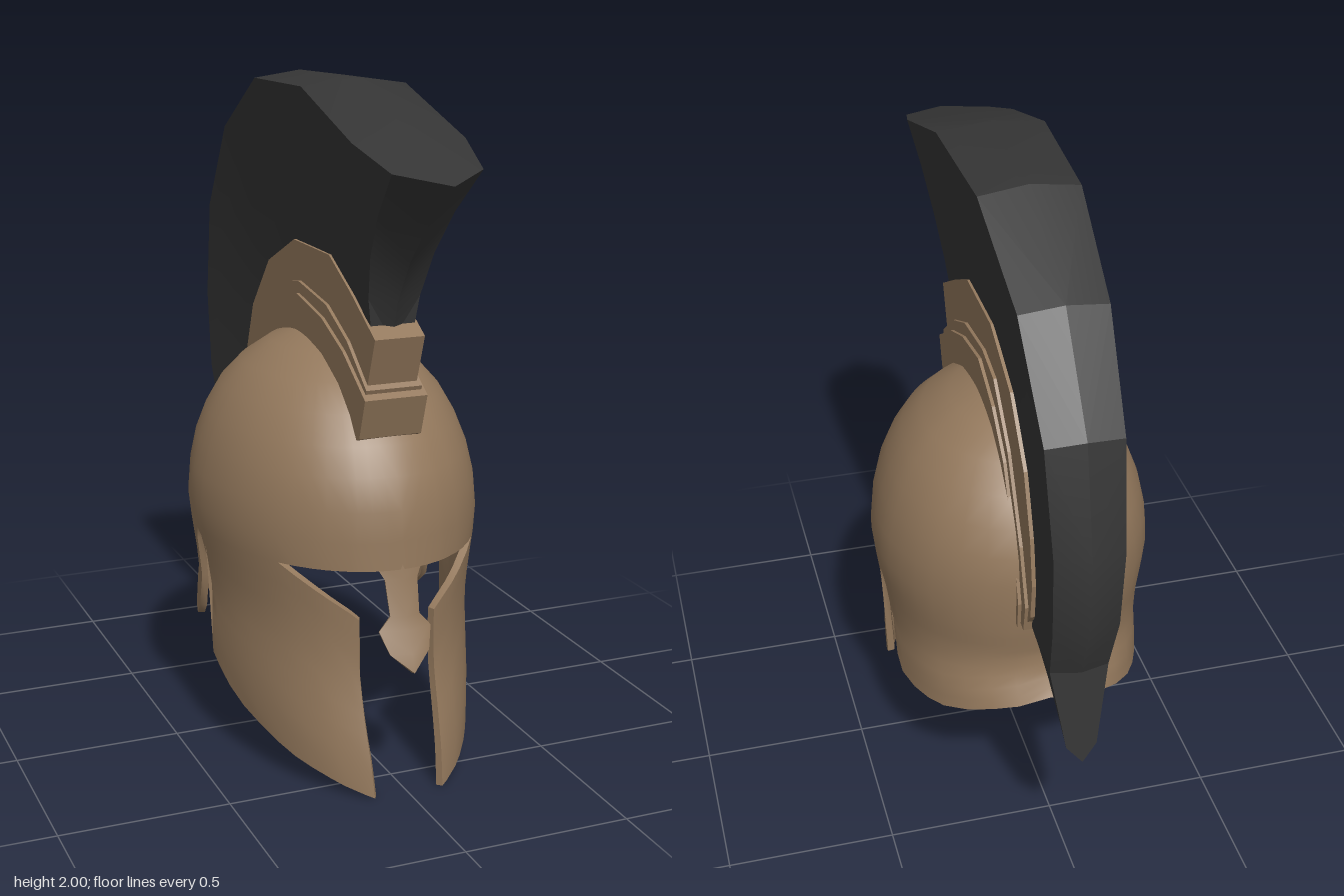
import * as THREE from 'three';
import { mergeVertices, toCreasedNormals } from 'three/addons/utils/BufferGeometryUtils.js';

const bronze = new THREE.MeshStandardMaterial({ color: 0x93785c });
bronze.name = 'bronze';
const hair = new THREE.MeshStandardMaterial({ color: 0x353535 });
hair.name = 'dark crest hair';

// Shell sections: [y, half width, front reach, back reach]
const sections = [
  [0, 0.36, 0.66, 0.51], [0.1, 0.375, 0.64, 0.51], [0.2, 0.39, 0.605, 0.51],
  [0.33, 0.395, 0.565, 0.515], [0.43, 0.392, 0.557, 0.49], [0.48, 0.392, 0.557, 0.455],
  [0.55, 0.4, 0.56, 0.44], [0.66, 0.415, 0.57, 0.455], [0.74, 0.424, 0.565, 0.46],
  [0.83, 0.415, 0.56, 0.463], [0.92, 0.395, 0.53, 0.45], [1.0, 0.365, 0.485, 0.415],
  [1.08, 0.32, 0.425, 0.365], [1.15, 0.258, 0.345, 0.29], [1.21, 0.172, 0.23, 0.2],
  [1.243, 0.085, 0.115, 0.1], [1.255, 0, 0, 0],
];
// Lower and upper edges of the cheek and neck guards: [angle from the front, y]
const lowerEdge = [[0.3, 0], [0.5, 0.025], [0.87, 0.08], [1.24, 0.17], [1.495, 0.27],
  [1.51, 0.57], [1.56, 0.635], [1.62, 0.65], [1.68, 0.61], [1.71, 0.48], [1.76, 0.37],
  [1.84, 0.33], [2.05, 0.325], [2.3, 0.34], [2.7, 0.39], [Math.PI, 0.43]];
const upperEdge = [[0.3, 0.51], [0.36, 0.53], [0.83, 0.66], [Math.PI, 0.66]];
const angles = [0, 0.1, 0.2, 0.3, 0.36, 0.5, 0.6, 0.72, 0.83, 0.95, 1.08, 1.2, 1.32, 1.43, 1.495,
  1.51, 1.56, 1.62, 1.68, 1.71, 1.76, 1.84, 2.0, 2.15, 2.3, 2.5, 2.7, 2.9, Math.PI];

// Linear lookup in a table sorted by its first column
function lookup(table, x, column = 1) {
  let i = 0;
  while (i < table.length - 2 && x > table[i + 1][0]) i++;
  const [p, q] = [table[i], table[i + 1]];
  const t = THREE.MathUtils.clamp((x - p[0]) / (q[0] - p[0]), 0, 1);
  return p[column] + (q[column] - p[column]) * t;
}

function shellPoint(angle, y) {
  const reach = lookup(sections, y, angle < Math.PI / 2 ? 2 : 3);
  return [lookup(sections, y) * Math.sin(angle), y, reach * Math.cos(angle)];
}

// Adds a grid of quads and its mirror image across x = 0
function addGrid(out, columns, rows, at) {
  const flip = (p) => [-p[0], p[1], p[2]];
  for (let i = 0; i < columns; i++) {
    for (let j = 0; j < rows; j++) {
      const [a, b, c, d] = [at(i, j), at(i + 1, j), at(i + 1, j + 1), at(i, j + 1)];
      out.push(...a, ...b, ...c, ...a, ...c, ...d);
      out.push(...flip(a), ...flip(c), ...flip(b), ...flip(a), ...flip(d), ...flip(c));
    }
  }
}

// Joins loose triangles and drops the collapsed ones
function join(positions) {
  const loose = new THREE.BufferGeometry();
  loose.setAttribute('position', new THREE.Float32BufferAttribute(positions, 3));
  const geometry = mergeVertices(loose, 1e-4);
  const index = [];
  const old = geometry.index.array;
  for (let i = 0; i < old.length; i += 3) {
    const [a, b, c] = [old[i], old[i + 1], old[i + 2]];
    if (a !== b && b !== c && c !== a) index.push(a, b, c);
  }
  geometry.setIndex(index);
  geometry.computeVertexNormals();
  return geometry;
}

// Gives a sheet an inner wall and closes its rims
function thicken(sheet, depth) {
  const { position, normal } = sheet.attributes;
  const n = position.count;
  const points = [...position.array];
  for (let i = 0; i < n * 3; i++) points.push(position.array[i] - normal.array[i] * depth);
  const outer = sheet.index.array;
  const index = [...outer];
  const edges = new Map();
  for (let i = 0; i < outer.length; i += 3) {
    const tri = [outer[i], outer[i + 1], outer[i + 2]];
    index.push(tri[0] + n, tri[2] + n, tri[1] + n);
    tri.forEach((a, k) => edges.set(`${a}_${tri[(k + 1) % 3]}`, [a, tri[(k + 1) % 3]]));
  }
  for (const [a, b] of edges.values()) {
    if (!edges.has(`${b}_${a}`)) index.push(b, a, a + n, b, a + n, b + n);
  }
  const solid = new THREE.BufferGeometry();
  solid.setAttribute('position', new THREE.Float32BufferAttribute(points, 3));
  solid.setIndex(index);
  return toCreasedNormals(solid, 0.75);
}

// Dome with cheek guards and neck guard
function shellGeometry() {
  const out = [];
  const domeRows = sections.filter((s) => s[0] >= 0.66).map((s) => s[0]);
  addGrid(out, angles.length - 1, domeRows.length - 1, (i, j) => shellPoint(angles[i], domeRows[j]));
  const guard = angles.filter((a) => a >= 0.3);
  const rows = 9;
  addGrid(out, guard.length - 1, rows, (i, j) => {
    const low = lookup(lowerEdge, guard[i]), high = lookup(upperEdge, guard[i]);
    return shellPoint(guard[i], low + (high - low) * (j / rows));
  });
  return thicken(join(out), 0.022);
}

// Nose guard with a central ridge: [y, half width, z]
function noseGeometry() {
  const rows = [[0.38, 0, 0.66], [0.43, 0.06, 0.645], [0.49, 0.08, 0.617], [0.53, 0.045, 0.603],
    [0.63, 0.05, 0.577], [0.675, 0.075, 0.569]];
  const out = [];
  addGrid(out, 1, rows.length - 1, (i, j) => {
    const [y, w, z] = rows[j];
    return [w * i, y, z - 0.35 * w * i];
  });
  return thicken(join(out), 0.022);
}

// Curved band holding the crest, cut from a side outline of [z, y] points
function bandGeometry(outer, halfWidth) {
  const inner = [[-0.4, 0.72], [-0.38, 0.95], [-0.25, 1.1], [0, 1.19], [0.25, 1.12], [0.44, 1.01]];
  const shape = new THREE.Shape([...outer, ...inner].map(([z, y]) => new THREE.Vector2(z, y)));
  const geometry = new THREE.ExtrudeGeometry(shape, { depth: halfWidth * 2, bevelEnabled: false });
  return geometry.translate(0, 0, -halfWidth).rotateY(-Math.PI / 2);
}

// Crest: [side z, side y, half width, ridge z, ridge y, root z, root y]
function crestGeometry() {
  const stations = [
    [0.76, 1.805, 0.13, 0.86, 1.78, 0.48, 1.3], [0.58, 1.865, 0.165, 0.52, 1.905, 0.36, 1.38],
    [0.2, 1.98, 0.16, 0.2, 2, 0.2, 1.46], [-0.22, 1.97, 0.145, -0.22, 1.99, -0.08, 1.46],
    [-0.56, 1.79, 0.125, -0.575, 1.81, -0.29, 1.36], [-0.77, 1.51, 0.11, -0.79, 1.525, -0.43, 1.2],
    [-0.84, 1.2, 0.1, -0.865, 1.2, -0.5, 1.0], [-0.825, 0.95, 0.095, -0.85, 0.95, -0.52, 0.88],
    [-0.77, 0.77, 0.085, -0.79, 0.77, -0.51, 0.78], [-0.81, 0.52, 0.045, -0.825, 0.47, -0.48, 0.72],
  ];
  const last = stations.length - 1, rows = 4, root = 0.06;
  // Both ends are hollowed between root and tip
  const along = (i, t, z, y, x) => {
    const [rz, ry] = stations[i].slice(5);
    const hollow = 4 * t * (1 - t);
    return [x, ry + (y - ry) * t + (i === last ? 0.025 * hollow : 0),
      rz + (z - rz) * t - (i === 0 ? 0.075 * hollow : 0)];
  };
  const side = (i, j) => {
    const [z, y, w] = stations[i];
    return along(i, j / rows, z, y, root + (w - root) * (j / rows));
  };
  const centre = (i, j) => along(i, j / rows, stations[i][3], stations[i][4], 0);
  const out = [];
  addGrid(out, last, rows, side);
  addGrid(out, last, 1, (i, j) => (j ? centre(i, rows) : side(i, rows)));
  addGrid(out, last, 1, (i, j) => (j ? side(i, 0) : centre(i, 0)));
  addGrid(out, 1, rows, (i, j) => (i ? side(0, j) : centre(0, j)));
  addGrid(out, 1, rows, (i, j) => (i ? centre(last, j) : side(last, j)));
  return toCreasedNormals(join(out), 0.35);
}

export function createModel() {
  const model = new THREE.Group();
  model.name = 'crestedHelmet';
  const add = (name, geometry, material) => {
    const mesh = new THREE.Mesh(geometry, material);
    mesh.name = name;
    model.add(mesh);
  };
  add('helmetShell', shellGeometry(), bronze);
  add('noseGuard', noseGeometry(), bronze);
  add('lowerCrestBand', bandGeometry([[0.475, 1.025], [0.515, 1.145], [0.35, 1.25], [0.19, 1.315],
    [-0.01, 1.35], [-0.17, 1.28], [-0.3, 1.17], [-0.42, 0.945], [-0.47, 0.785], [-0.46, 0.695]], 0.095), bronze);
  add('middleCrestBand', bandGeometry([[0.47, 1.1], [0.5, 1.17], [0.36, 1.28], [0.2, 1.355],
    [-0.02, 1.385], [-0.15, 1.36], [-0.31, 1.21], [-0.445, 0.97], [-0.51, 0.8], [-0.49, 0.705]], 0.085), bronze);
  add('upperCrestBand', bandGeometry([[0.485, 1.18], [0.535, 1.32], [0.36, 1.42], [0.2, 1.5],
    [-0.08, 1.5], [-0.3, 1.4], [-0.45, 1.23], [-0.52, 1.05], [-0.545, 0.9], [-0.53, 0.78],
    [-0.49, 0.73]], 0.075), bronze);
  add('crest', crestGeometry(), hair);
  return model;
}
